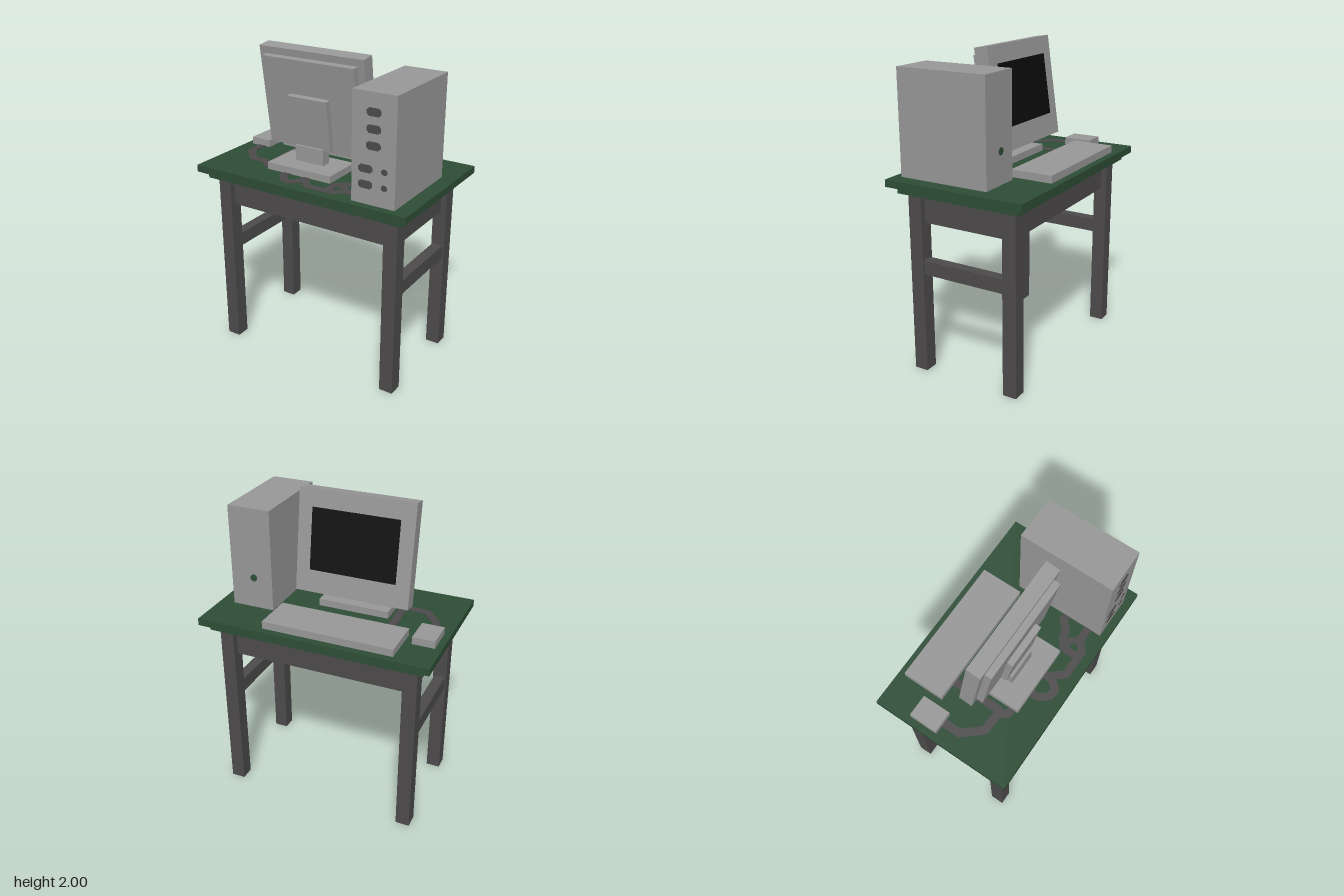
import * as THREE from 'three';
import { mergeGeometries } from 'three/addons/utils/BufferGeometryUtils.js';

const material = (name, color) => {
  const m = new THREE.MeshStandardMaterial({ color });
  m.name = name;
  return m;
};

export function createModel() {
  const model = new THREE.Group();
  model.name = 'computerDesk';
  const green = material('desk green', 0x2d4d35);
  const dark = material('dark grey', 0x4c4a4a);
  const grey = material('casing grey', 0x979797);
  const black = material('screen black', 0x0c0c0c);

  const add = (parent, name, geometry, mat) => {
    const mesh = new THREE.Mesh(geometry, mat);
    mesh.name = name;
    parent.add(mesh);
    return mesh;
  };
  // Box given by its limits on each axis
  const box = (parent, name, mat, [x0, x1], [y0, y1], [z0, z1]) => {
    const mesh = add(parent, name, new THREE.BoxGeometry(x1 - x0, y1 - y0, z1 - z0), mat);
    mesh.position.set((x0 + x1) / 2, (y0 + y1) / 2, (z0 + z1) / 2);
    return mesh;
  };

  // Desk
  const desk = new THREE.Group();
  desk.name = 'desk';
  model.add(desk);
  box(desk, 'deskTop', green, [-0.742, 0.742], [1.21, 1.255], [-0.463, 0.463]);
  box(desk, 'deskTopTrim', green, [-0.692, 0.692], [1.165, 1.21], [-0.415, 0.415]);
  box(desk, 'apron', dark, [-0.61, 0.61], [0.98, 1.165], [-0.33, 0.33]);
  for (const s of [-1, 1]) {
    for (const t of [-1, 1]) {
      const leg = add(desk, 'leg', new THREE.BoxGeometry(0.09, 1.165, 0.09), dark);
      leg.position.set(s * 0.603, 0.5825, t * 0.325);
    }
    const stretcher = add(desk, 'stretcher', new THREE.BoxGeometry(0.07, 0.09, 0.57), dark);
    stretcher.position.set(s * 0.603, 0.7, 0);
  }

  // Tower with sockets on the front and a power button behind
  const tower = new THREE.Group();
  tower.name = 'tower';
  model.add(tower);
  box(tower, 'towerCase', grey, [0.37, 0.648], [1.255, 1.905], [-0.182, 0.415]);
  const plate = (name, mat, x, y, z, w, h) => {
    const a = w / 2, b = h / 2, c = Math.min(a, b) * 0.6;
    const outline = [[-a, -b + c], [-a + c, -b], [a - c, -b], [a, -b + c],
      [a, b - c], [a - c, b], [-a + c, b], [-a, b - c]].map((p) => new THREE.Vector2(...p));
    const g = new THREE.ExtrudeGeometry(new THREE.Shape(outline), { depth: 0.006, bevelEnabled: false });
    add(tower, name, g, mat).position.set(x, y, z);
  };
  const sockets = [[0.508, 1.795], [0.508, 1.7], [0.508, 1.605], [0.46, 1.467], [0.46, 1.373]];
  for (const [x, y] of sockets) plate('socket', dark, x, y, 0.412, 0.09, 0.047);
  for (const y of [1.467, 1.373]) plate('smallSocket', dark, 0.58, y, 0.412, 0.038, 0.034);
  plate('powerButton', green, 0.495, 1.455, -0.185, 0.045, 0.045);

  // Monitor: tilted head, hung from the top edge of its screen side
  const monitor = new THREE.Group();
  monitor.name = 'monitor';
  model.add(monitor);
  const head = new THREE.Group();
  head.name = 'monitorHead';
  head.position.set(-0.095, 2, 0.045);
  head.rotation.x = 0.14;
  monitor.add(head);
  box(head, 'monitorFrame', grey, [-0.37, 0.37], [-0.644, 0], [0, 0.09]);
  box(head, 'monitorBack', grey, [-0.325, 0.325], [-0.603, -0.045], [0.09, 0.132]);
  box(head, 'monitorMount', grey, [-0.14, 0.14], [-0.593, -0.265], [0.13, 0.17]);
  box(head, 'screen', black, [-0.28, 0.28], [-0.5, -0.11], [-0.004, 0.002]);
  box(monitor, 'monitorNeck', grey, [-0.2, 0.005], [1.3, 1.4], [0.085, 0.15]);
  box(monitor, 'monitorBase', grey, [-0.325, 0.135], [1.255, 1.3], [0, 0.275]);

  // Keyboard and mouse
  box(model, 'keyboard', grey, [-0.512, 0.322], [1.255, 1.302], [-0.417, -0.145]);
  box(model, 'mouse', grey, [-0.7, -0.56], [1.255, 1.302], [-0.236, -0.05]);

  // Flat cables lying on the desk, as lists of x, z points
  const cable = (name, points, width) => {
    const parts = [];
    points.forEach(([x, z], i) => {
      parts.push(new THREE.CylinderGeometry(width / 2, width / 2, 0.005, 8).translate(x, 0, z));
      if (!i) return;
      const [px, pz] = points[i - 1];
      const dx = x - px, dz = z - pz;
      parts.push(new THREE.BoxGeometry(Math.hypot(dx, dz), 0.005, width)
        .rotateY(-Math.atan2(dz, dx)).translate((x + px) / 2, 0, (z + pz) / 2));
    });
    add(model, name, mergeGeometries(parts), dark).position.y = 1.2565;
  };
  cable('mouseCable', [[-0.62, -0.07], [-0.62, 0.06], [-0.57, 0.12], [-0.52, 0.175],
    [-0.4, 0.18], [-0.36, 0.23], [-0.3, 0.235]], 0.052);
  cable('keyboardCable', [[-0.375, -0.17], [-0.375, 0.02], [-0.37, 0.17]], 0.052);
  cable('screenCable', [[-0.175, 0.25], [-0.175, 0.32], [-0.13, 0.375], [-0.08, 0.38],
    [-0.035, 0.33], [-0.03, 0.25]], 0.05);
  cable('lowerCable', [[-0.025, 0.3], [0.04, 0.38], [0.22, 0.38], [0.275, 0.33], [0.39, 0.33]], 0.05);
  cable('upperCable', [[0.175, 0.38], [0.175, 0.28], [0.225, 0.235], [0.29, 0.22],
    [0.325, 0.175], [0.39, 0.17]], 0.05);
  cable('crossCable', [[0.175, 0.275], [0.24, 0.28], [0.275, 0.33]], 0.045);

  return model;
}
